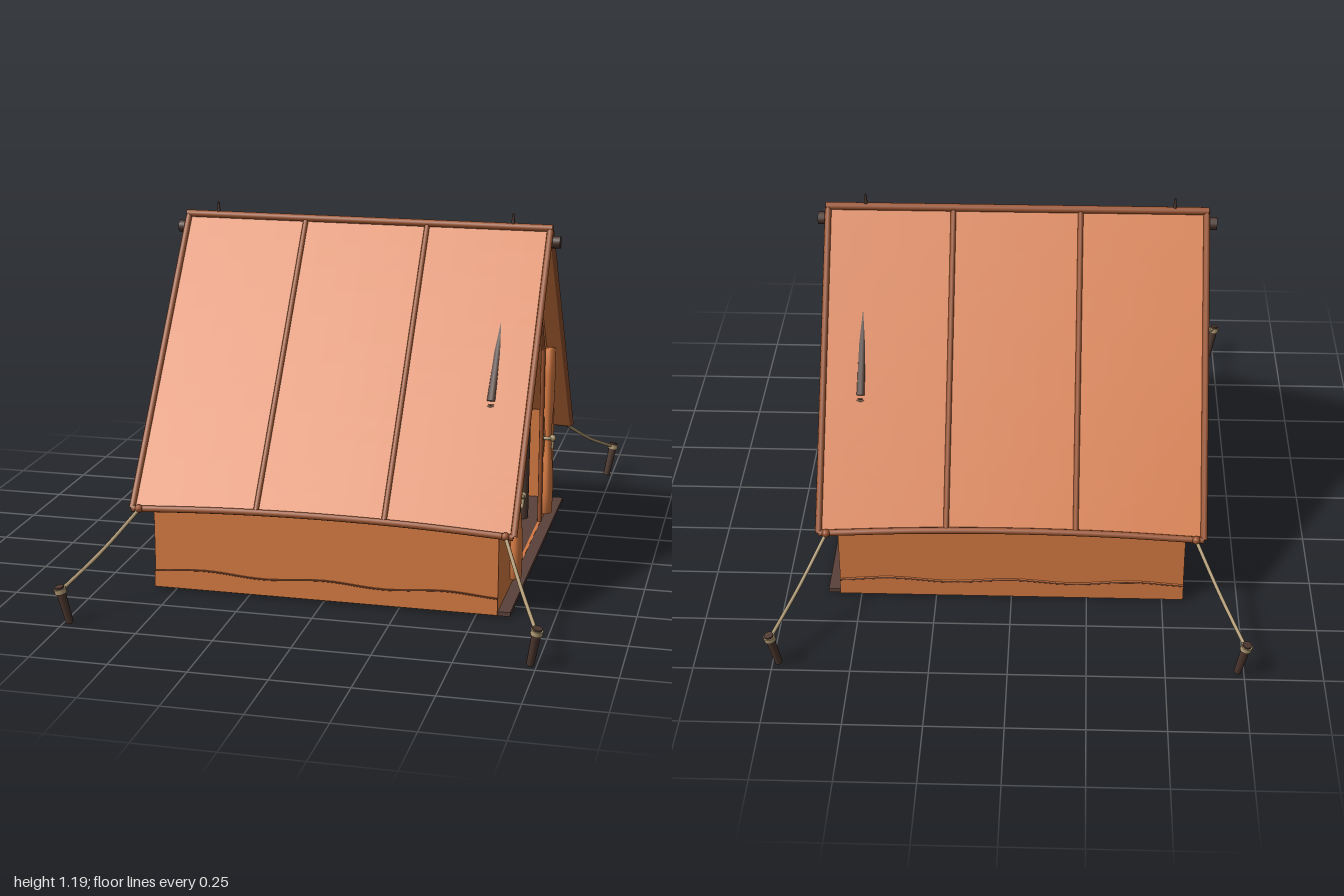
import * as THREE from 'three';

const mat = (name, color, side = THREE.FrontSide) => {
  const m = new THREE.MeshStandardMaterial({ color, side });
  m.name = name;
  return m;
};
const V = (x, y, z) => new THREE.Vector3(x, y, z);

export function createModel() {
  const root = new THREE.Group();
  root.name = 'ridgeTent';
  const canvas = mat('orange canvas', 0xd67a42, THREE.DoubleSide);
  const trim = mat('seam brown', 0x9a532e);
  const wood = mat('dark pole', 0x4b362e);
  const floorMat = mat('ground sheet', 0x5a4139);
  const rope = mat('rope', 0xb09a74);
  const netting = mat('window netting', 0x4a3026, THREE.DoubleSide);

  const add = (name, geo, material, x = 0, y = 0, z = 0, parent = root) => {
    const m = new THREE.Mesh(geo, material);
    m.name = name;
    m.position.set(x, y, z);
    parent.add(m);
    return m;
  };
  // Smooth tube through points
  const tube = (name, pts, r, material, seg = 16, sides = 8) =>
    add(name, new THREE.TubeGeometry(new THREE.CatmullRomCurve3(pts), seg, r, sides), material);
  // Straight rod with closed ends
  const rod = (name, a, b, r, material, r2 = r, sides = 12) => {
    const m = add(name, new THREE.CylinderGeometry(r2, r, a.distanceTo(b), sides), material);
    m.position.copy(a).add(b).multiplyScalar(0.5);
    m.quaternion.setFromUnitVectors(V(0, 1, 0), b.clone().sub(a).normalize());
    return m;
  };

  // Roof surface: t runs from ridge (0) to eave (1), the eave bows up in the middle
  const W = 0.625;
  const roofPoint = (x, t, side, lift = 0) => {
    const bow = (1 - (x / W) ** 2) * t * t;
    return V(x, 1.14 - 0.855 * t + 0.018 * bow + 0.61 * lift,
      side * (0.657 * t - 0.006 * bow + 0.79 * lift));
  };
  for (const s of [1, -1]) {
    const g = new THREE.BoxGeometry(2 * W, 1, 0.01, 16, 12, 1);
    const p = g.attributes.position;
    for (let i = 0; i < p.count; i++) {
      const v = roofPoint(p.getX(i), 0.5 - p.getY(i), s, s * p.getZ(i) - 0.005);
      p.setXYZ(i, v.x, v.y, v.z);
    }
    g.computeVertexNormals();
    add('roofPanel', g, canvas);

    // Seams and edge binding
    for (const x of [-W, -0.21, 0.21, W]) {
      const edge = Math.abs(x) === W;
      tube(edge ? 'roofEdge' : 'roofSeam',
        [0, 0.25, 0.5, 0.75, 1].map(t => roofPoint(x, t, s)), edge ? 0.011 : 0.009, trim);
    }
    tube('eaveBinding', [-1, -0.5, 0, 0.5, 1].map(k => roofPoint(k * W, 1, s)), 0.011, trim, 24);
  }
  rod('ridgeBinding', V(-W - 0.008, 1.14, 0), V(W + 0.008, 1.14, 0), 0.013, trim);

  // Ridge pole, rear pole and pole spikes
  rod('ridgePole', V(-0.66, 1.095, 0), V(0.66, 1.095, 0), 0.021, wood);
  rod('rearPole', V(-0.52, 0.01, 0), V(-0.52, 1.1, 0), 0.024, wood);
  for (const x of [-0.52, 0.5]) {
    add('poleSpike', new THREE.CylinderGeometry(0.003, 0.008, 0.05, 10), wood, x, 1.16, 0);
  }

  // Bent front frame legs, running along the roof and down beside the door
  for (const s of [1, -1]) {
    const knee = V(0.5, 0.635, s * 0.373);
    rod('frameRafter', V(0.5, 1.1, 0), V(0.5, 0.905, s * 0.155), 0.019, wood);
    rod('frameRafterLower', V(0.5, 0.905, s * 0.155), knee, 0.019, wood);
    rod('frameLeg', V(0.5, 0.01, s * 0.34), knee, 0.02, wood);
    rod('frameCollar', V(0.5, 0.612, s * 0.372), V(0.5, 0.632, s * 0.374), 0.023, rope);
  }

  // Gable end walls, the front one with a door opening
  const outline = [[-0.6, 0.005], [0.6, 0.005], [0.6, 0.345], [0, 1.12], [-0.6, 0.345]];
  const door = [[-0.31, 0.015], [-0.31, 0.65], [-0.13, 0.91], [0.13, 0.91], [0.31, 0.65], [0.31, 0.015]];
  const window0 = [[-0.13, 0.46], [-0.13, 0.61], [0.13, 0.61], [0.13, 0.46]];
  const toV2 = a => a.map(([x, y]) => new THREE.Vector2(x, y));
  const gable = (name, hole, x) => {
    const shape = new THREE.Shape(toV2(outline));
    shape.holes.push(new THREE.Path(toV2(hole)));
    const g = new THREE.ExtrudeGeometry(shape, { depth: 0.01, bevelEnabled: false });
    add(name, g.rotateY(Math.PI / 2), canvas, x);
  };
  gable('doorWall', door, 0.56);
  gable('rearWall', window0, -0.57);
  for (let i = 0; i < door.length - 1; i++) {
    const [a, b] = [door[i], door[i + 1]];
    rod('doorBinding', V(0.566, a[1], a[0]), V(0.566, b[1], b[0]), 0.008, trim, 0.008, 8);
  }

  // Rear window with a small awning
  add('windowNet', new THREE.BoxGeometry(0.006, 0.16, 0.27), netting, -0.565, 0.535, 0);
  const awning = add('windowAwning', new THREE.BoxGeometry(0.008, 0.085, 0.3), canvas, -0.59, 0.635, 0);
  awning.rotation.z = -0.55;

  // Low side walls with wavy sod cloth
  const wave = x => 0.066 + 0.006 * Math.cos(x * 15.7);
  for (const s of [1, -1]) {
    add('sideWall', new THREE.BoxGeometry(1.14, 0.345, 0.01), canvas, 0, 0.1775, s * 0.597);
    const top = [];
    for (let i = 0; i <= 32; i++) top.push([0.57 - i * 1.14 / 32, wave(0.57 - i * 1.14 / 32)]);
    const cloth = new THREE.Shape(toV2([[-0.57, 0.005], [0.57, 0.005], ...top]));
    add('sodCloth', new THREE.ExtrudeGeometry(cloth, { depth: 0.01, bevelEnabled: false }),
      canvas, 0, 0, s * 0.606 - 0.005);
    tube('sodClothHem', top.map(([x, y]) => V(x, y, s * 0.611)), 0.0025, trim, 48, 6);
  }

  // Ground sheet
  add('groundSheet', new THREE.BoxGeometry(1.18, 0.014, 1.2), floorMat, 0.02, 0.007, 0);

  // Door flaps rolled and tied back
  const roll = [[0, 0.035], [0.03, 0.04], [0.033, 0.12], [0.03, 0.2], [0.021, 0.27], [0.017, 0.32],
    [0.021, 0.37], [0.029, 0.45], [0.032, 0.55], [0.03, 0.645], [0, 0.65]];
  for (const s of [1, -1]) {
    const flap = add('rolledFlap', new THREE.LatheGeometry(toV2(roll), 20), canvas, 0.585, 0, s * 0.347);
    flap.scale.x = 0.65;
    const tie = add('flapTie', new THREE.TorusGeometry(0.019, 0.006, 8, 20), rope, 0.585, 0.32, s * 0.347);
    tie.rotation.x = Math.PI / 2;
    add('tieKnot', new THREE.SphereGeometry(0.012, 10, 8), rope, 0.603, 0.32, s * 0.338);
    rod('tieTail', V(0.605, 0.32, s * 0.338), V(0.602, 0.28, s * 0.345), 0.005, rope, 0.005, 8);
  }

  // Guy ropes and stakes at the four corners
  for (const sx of [1, -1]) for (const sz of [1, -1]) {
    const at = (x, y, z) => V(sx * x, y, sz * z);
    add('guyEyelet', new THREE.SphereGeometry(0.014, 10, 8), trim, sx * 0.6, 0.288, sz * 0.662);
    tube('guyRope', [at(0.6, 0.285, 0.66), at(0.675, 0.187, 0.82), at(0.748, 0.112, 0.98)], 0.006, rope);
    rod('stake', at(0.73, 0, 0.965), at(0.753, 0.125, 0.984), 0.012, wood, 0.015);
    rod('stakeLoop', at(0.749, 0.103, 0.981), at(0.752, 0.119, 0.983), 0.019, rope);
  }
  return root;
}
